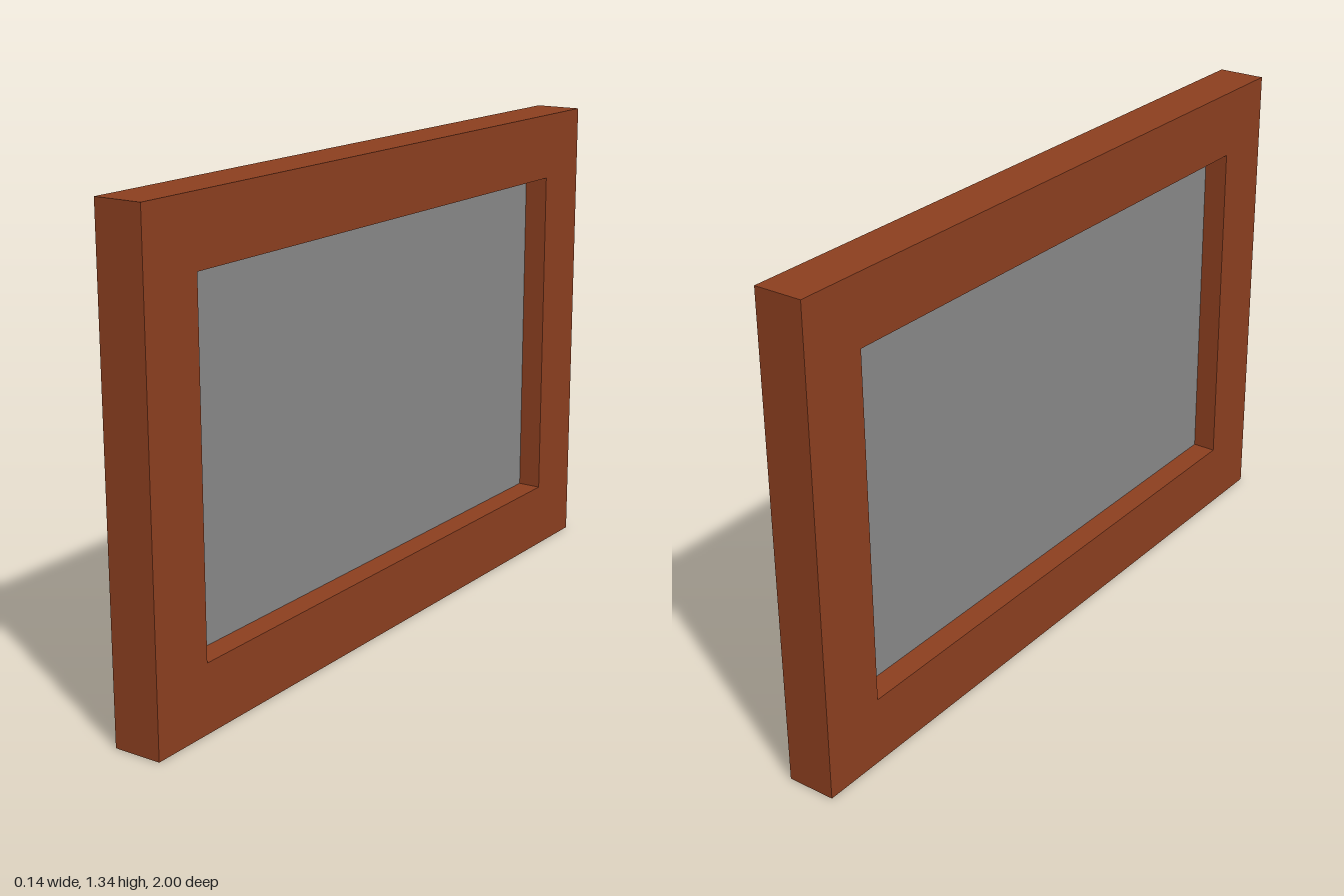
import * as THREE from 'three';

const LENGTH = 2, HEIGHT = 1.34, DEPTH = 0.136, BORDER = 0.187;

// Rectangle outline centred on the origin
function rectangle(PathType, width, height) {
  const w = width / 2, h = height / 2;
  return new PathType([
    new THREE.Vector2(-w, -h), new THREE.Vector2(w, -h),
    new THREE.Vector2(w, h), new THREE.Vector2(-w, h),
  ]);
}

export function createModel() {
  const group = new THREE.Group();
  group.name = 'framedPanel';
  const openLength = LENGTH - 2 * BORDER, openHeight = HEIGHT - 2 * BORDER;

  // Wooden frame: one rectangle with a rectangular opening
  const outline = rectangle(THREE.Shape, LENGTH, HEIGHT);
  outline.holes.push(rectangle(THREE.Path, openLength, openHeight));
  const frameGeometry = new THREE.ExtrudeGeometry(outline, { depth: DEPTH, bevelEnabled: false });
  frameGeometry.translate(0, 0, -DEPTH / 2);
  const frame = new THREE.Mesh(frameGeometry, new THREE.MeshStandardMaterial({ color: 0x8b3e1f }));
  frame.name = 'frame';

  // Thin pane halfway through the frame, seen from both sides
  const pane = new THREE.Mesh(
    new THREE.PlaneGeometry(openLength, openHeight),
    new THREE.MeshStandardMaterial({ color: 0x888888, side: THREE.DoubleSide })
  );
  pane.name = 'pane';

  // Turn both so the panel faces sideways and stands on the ground
  for (const part of [frame, pane]) {
    part.rotation.y = Math.PI / 2;
    part.position.y = HEIGHT / 2;
    group.add(part);
  }
  return group;
}
